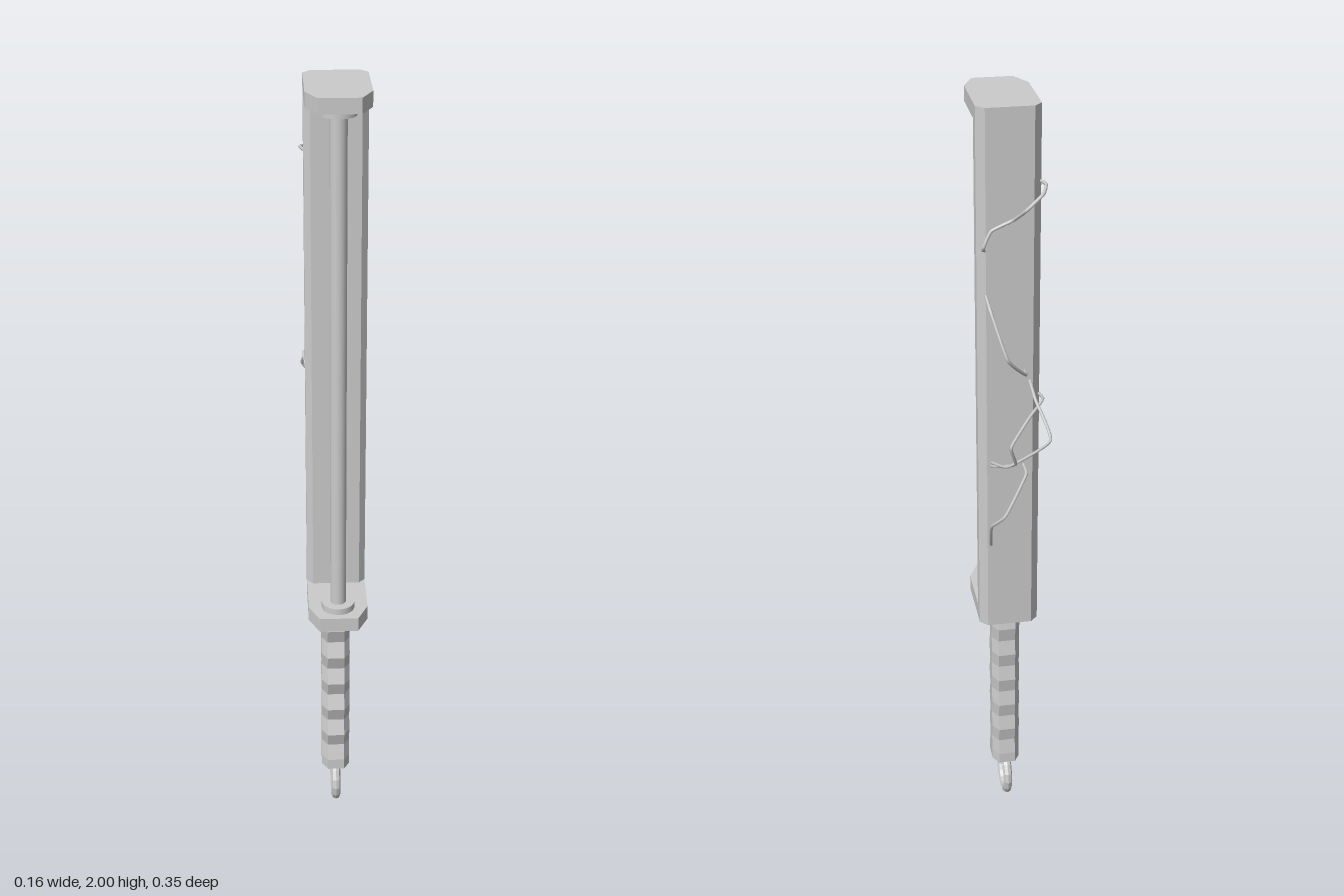
import * as THREE from 'three';

const CX = 0.0035; // centre line of the frame
const flat = new THREE.MeshStandardMaterial({ color: 0xcccccc, flatShading: true });
const smooth = new THREE.MeshStandardMaterial({ color: 0xcccccc });

function add(parent, name, geometry, material = flat) {
  const mesh = new THREE.Mesh(geometry, material);
  mesh.name = name;
  parent.add(mesh);
  return mesh;
}

// Upright prism from an outline of [x, z] points
function prism(points, y0, y1) {
  const shape = new THREE.Shape(points.map(([x, z]) => new THREE.Vector2(x, -z)));
  return new THREE.ExtrudeGeometry(shape, { depth: y1 - y0, bevelEnabled: false })
    .rotateX(-Math.PI / 2).translate(CX, y0, 0);
}

// Mirror half an outline across the centre line
const mirrored = half => [...half, ...half.slice().reverse().map(([x, z]) => [-x, z])];

// Flat-sided skin through stacked loops of [x, y, z], counter-clockwise from above
function loft(loops) {
  const pos = [];
  const n = loops[0].length;
  const tri = (a, b, c) => pos.push(...a, ...b, ...c);
  for (let k = 0; k < loops.length - 1; k++) {
    for (let i = 0; i < n; i++) {
      const j = (i + 1) % n, lo = loops[k], hi = loops[k + 1];
      tri(lo[i], lo[j], hi[j]);
      tri(lo[i], hi[j], hi[i]);
    }
  }
  const top = loops[loops.length - 1];
  for (let i = 1; i < n - 1; i++) {
    tri(loops[0][0], loops[0][i + 1], loops[0][i]);
    tri(top[0], top[i], top[i + 1]);
  }
  const g = new THREE.BufferGeometry();
  g.setAttribute('position', new THREE.Float32BufferAttribute(pos, 3));
  g.computeVertexNormals();
  return g;
}

// Chamfered grip section between a front and a back depth
function gripLoop(y, front, back) {
  const c = 0.025;
  return [[-0.022, front], [0.022, front], [0.037, front - c], [0.037, back + c],
    [0.022, back], [-0.022, back], [-0.037, back + c], [-0.037, front - c]]
    .map(([x, z]) => [x, y, z]);
}

export function createModel() {
  const group = new THREE.Group();

  // Frame: end plates and the spine behind
  const plate = mirrored([[0.0485, 0.176], [0.0755, 0.12], [0.0755, -0.042], [0.0565, -0.062]]);
  add(group, 'lowerPlate', prism(plate, 0.63, 0.668));
  add(group, 'upperPlate', prism(plate, 1.964, 2));
  const spine = mirrored([[0.06, 0.004], [0.0755, -0.012], [0.0755, -0.042], [0.0565, -0.062]]);
  add(group, 'spine', prism(spine, 0.668, 1.964));

  // Rod with a collar at each end
  add(group, 'rod', new THREE.CylinderGeometry(0.02, 0.02, 1.3, 24), smooth)
    .position.set(CX, 1.316, 0.117);
  for (const y of [0.676, 1.957]) {
    add(group, 'rodCollar', new THREE.CylinderGeometry(0.042, 0.042, 0.018, 24), smooth)
      .position.set(CX, y, 0.117);
  }

  // Grip with finger waves
  const loops = [gripLoop(0.125, 0.088, -0.005), gripLoop(0.155, 0.088, -0.005)];
  for (let k = 0; k < 5; k++) {
    const y = 0.198 + k * 0.083;
    loops.push(gripLoop(y, 0.076, 0.002), gripLoop(y + 0.041, 0.09, -0.006));
  }
  loops.push(gripLoop(0.613, 0.077, 0.002), gripLoop(0.632, 0.086, -0.005));
  add(group, 'grip', loft(loops));

  // Hanging ring
  add(group, 'ring', new THREE.TorusGeometry(0.056, 0.012, 8, 16).rotateY(Math.PI / 2))
    .position.set(0, 0.068, 0.038);

  // Loose wires on the back
  const wires = [
    [[-0.068, 1.82, -0.035], [-0.078, 1.82, -0.07], [-0.065, 1.81, -0.105], [-0.025, 1.78, -0.12],
      [0, 1.745, -0.085], [0.05, 1.72, -0.08], [0.07, 1.68, -0.085], [0.062, 1.665, -0.056]],
    [[0.06, 1.555, -0.056], [0.055, 1.53, -0.1], [0.025, 1.43, -0.155],
      [-0.025, 1.37, -0.115], [-0.033, 1.355, -0.056]],
    [[-0.045, 1.33, -0.056], [-0.05, 1.3, -0.11], [-0.075, 1.22, -0.174],
      [0.02, 1.14, -0.14], [0.05, 1.11, -0.056]],
    [[-0.07, 1.28, -0.03], [-0.072, 1.29, -0.09], [-0.03, 1.26, -0.13], [0.02, 1.21, -0.174],
      [0.005, 1.15, -0.15], [0.045, 1.11, -0.08], [0.05, 1.1, -0.056]],
    [[-0.03, 1.1, -0.056], [-0.03, 1.09, -0.1], [0.03, 1.01, -0.154],
      [0.06, 0.97, -0.13], [0.055, 0.9, -0.08], [0.05, 0.87, -0.056]],
  ];
  for (const points of wires) {
    const curve = new THREE.CatmullRomCurve3(
      points.map(p => new THREE.Vector3(...p)), false, 'catmullrom', 0.25);
    add(group, 'wire', new THREE.TubeGeometry(curve, 40, 0.004, 6), smooth);
  }

  return group;
}
